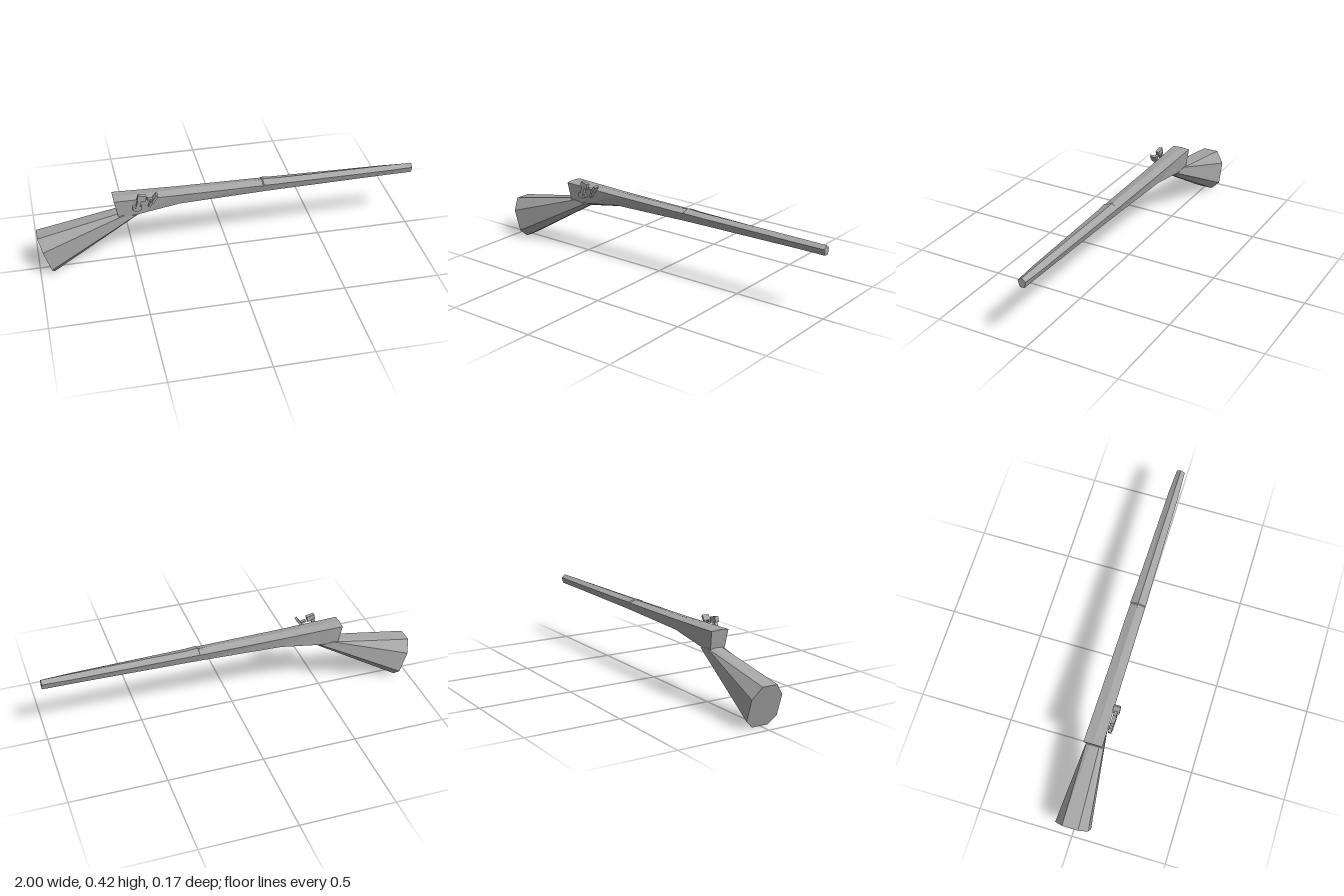
import * as THREE from 'three';

const steel = new THREE.MeshStandardMaterial({ color: 0xa6a6a6, flatShading: true });
steel.name = 'grey';

// Skins a row of cross-sections (running towards +x) and closes both ends.
function loft(name, rings) {
  const pos = [], index = [], n = rings[0].length;
  rings.forEach(r => r.forEach(p => pos.push(...p)));
  for (let i = 0; i < rings.length - 1; i++) {
    for (let j = 0; j < n; j++) {
      const a = i * n + j, b = i * n + (j + 1) % n;
      index.push(a, b, a + n, b, b + n, a + n);
    }
  }
  const last = (rings.length - 1) * n;
  for (let j = 1; j < n - 1; j++) {
    index.push(0, j + 1, j);
    index.push(last, last + j, last + j + 1);
  }
  const g = new THREE.BufferGeometry();
  g.setAttribute('position', new THREE.Float32BufferAttribute(pos, 3));
  g.setIndex(index);
  const flat = g.toNonIndexed();
  flat.computeVertexNormals();
  const mesh = new THREE.Mesh(flat, steel);
  mesh.name = name;
  return mesh;
}

// Six-sided barrel section: ridge, shoulders, lower edges and keel.
function barrelRing([xTop, xLow, top, shY, shZ, lowY, lowZ, keel]) {
  return [
    [xTop, top, 0], [xTop, shY, shZ], [xLow, lowY, lowZ],
    [xLow, keel, 0], [xLow, lowY, -lowZ], [xTop, shY, -shZ],
  ];
}

// Eight-sided stock section given as (x, y, half width) from top to bottom.
function stockRing(levels) {
  const left = levels.map(([x, y, z]) => [x, y, z]);
  const right = levels.map(([x, y, z]) => [x, y, -z]).reverse();
  return [...left, ...right];
}

function block(name, size, at, turn = 0) {
  const mesh = new THREE.Mesh(new THREE.BoxGeometry(...size), steel);
  mesh.name = name;
  mesh.position.set(...at);
  mesh.rotation.z = turn;
  return mesh;
}

export function createModel() {
  const model = new THREE.Group();
  model.name = 'longGun';

  // Barrel and fore-end, from the breech to the muzzle
  model.add(loft('barrel', [
    [-0.60, -0.58, 0.392, 0.388, 0.049, 0.286, 0.041, 0.283],
    [-0.475, -0.475, 0.391, 0.385, 0.047, 0.291, 0.038, 0.272],
    [-0.26, -0.26, 0.390, 0.380, 0.044, 0.323, 0.034, 0.310],
    [0.18, 0.18, 0.388, 0.375, 0.040, 0.332, 0.027, 0.322],
    [0.185, 0.185, 0.393, 0.378, 0.042, 0.332, 0.027, 0.322],
    [0.25, 0.25, 0.388, 0.375, 0.039, 0.333, 0.026, 0.323],
    [0.85, 0.85, 0.385, 0.369, 0.029, 0.336, 0.017, 0.331],
    [1.0, 1.0, 0.383, 0.367, 0.022, 0.334, 0.0125, 0.333],
  ].map(barrelRing)));

  // Flared shoulder stock
  model.add(loft('stock', [
    [[-1.0, 0.215, 0.042], [-0.98, 0.155, 0.087], [-0.943, 0.042, 0.087], [-0.93, 0.002, 0.045]],
    [[-0.577, 0.299, 0.024], [-0.555, 0.296, 0.044], [-0.49, 0.284, 0.038], [-0.472, 0.274, 0.012]],
  ].map(stockRing)));

  // Cocking hammer on the left-hand lock
  const hammer = new THREE.Group();
  hammer.name = 'hammer';
  hammer.add(
    block('hammerJaw', [0.044, 0.03, 0.02], [-0.46, 0.405, 0.064], -0.25),
    block('hammerNeck', [0.018, 0.06, 0.018], [-0.477, 0.369, 0.06], -0.28),
  );
  const foot = new THREE.Mesh(new THREE.CylinderGeometry(0.024, 0.024, 0.016, 6), steel);
  foot.name = 'hammerFoot';
  foot.rotation.x = Math.PI / 2;
  foot.position.set(-0.484, 0.342, 0.057);
  foot.scale.set(1.1, 1, 0.75);
  hammer.add(foot);
  model.add(hammer);

  // Striking plate ahead of the hammer
  const frizzen = new THREE.Group();
  frizzen.name = 'frizzen';
  frizzen.add(
    block('frizzenPlate', [0.012, 0.046, 0.036], [-0.394, 0.393, 0.061], -0.6),
    block('frizzenStem', [0.012, 0.04, 0.02], [-0.413, 0.365, 0.06], -0.5),
    block('frizzenArm', [0.034, 0.01, 0.018], [-0.416, 0.389, 0.061], -0.35),
  );
  model.add(frizzen);

  // Pin tying the lock parts to the side of the barrel
  model.add(block('lockPin', [0.02, 0.016, 0.02], [-0.482, 0.342, 0.045]));

  return model;
}
